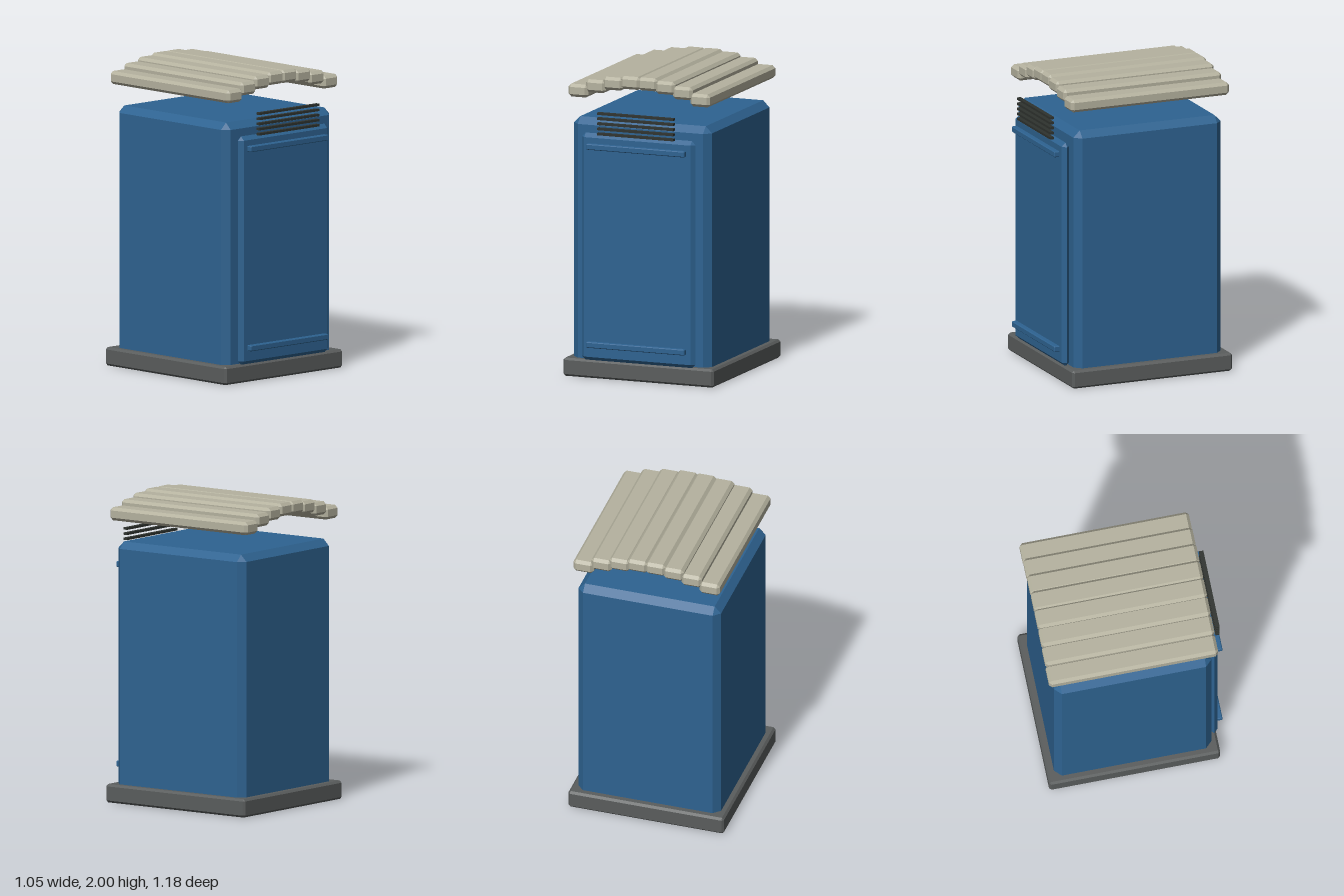
import * as THREE from 'three';
import { ConvexGeometry } from 'three/addons/geometries/ConvexGeometry.js';

const material = (name, color) => Object.assign(new THREE.MeshStandardMaterial({ color }), { name });

// Box with every edge chamfered by b, given its extents on each axis
function chamferBox([x0, x1], [y0, y1], [z0, z1], b) {
  const half = [(x1 - x0) / 2, (y1 - y0) / 2, (z1 - z0) / 2];
  const points = [];
  for (const sx of [-1, 1]) for (const sy of [-1, 1]) for (const sz of [-1, 1]) {
    const sign = [sx, sy, sz];
    for (let axis = 0; axis < 3; axis++) {
      // one corner point per adjoining face: full on its axis, inset on the others
      points.push(new THREE.Vector3(...half.map((h, i) => sign[i] * (i === axis ? h : h - b))));
    }
  }
  return new ConvexGeometry(points).translate((x0 + x1) / 2, (y0 + y1) / 2, (z0 + z1) / 2);
}

export function createModel() {
  const model = new THREE.Group();
  model.name = 'cabin';
  const blue = material('blue paint', 0x2e6391);
  const grey = material('dark grey', 0x5a5d5d);
  const beige = material('beige roof', 0xb5b29f);
  const black = material('vent black', 0x2f332f);

  const add = (name, geometry, mat, parent = model) => {
    const mesh = new THREE.Mesh(geometry, mat);
    mesh.name = name;
    parent.add(mesh);
    return mesh;
  };
  const group = (name) => {
    const g = new THREE.Group();
    g.name = name;
    model.add(g);
    return g;
  };

  // Plinth, main body and door panel
  add('base', chamferBox([-0.527, 0.527], [0, 0.12], [-0.588, 0.538], 0.014), grey);
  add('body', chamferBox([-0.483, 0.483], [0.07, 1.7], [-0.541, 0.496], 0.044), blue);
  add('door', chamferBox([-0.398, 0.398], [0.115, 1.61], [0.496, 0.549], 0.026), blue);

  // Horizontal rails across the door
  const rails = group('doorRails');
  for (const y of [0.227, 1.529]) {
    add('doorRail', chamferBox([-0.345, 0.345], [y - 0.019, y + 0.019], [0.549, 0.588], 0.005), blue, rails);
  }

  // Stack of vent louvres above the door
  const vents = group('ventLouvres');
  for (let i = 0; i < 5; i++) {
    const louvre = add('louvre', new THREE.BoxGeometry(0.534, 0.015, 0.028), black, vents);
    louvre.position.set(0, 1.618 + i * 0.0335, 0.571);
  }

  // Arched roof of stepped slats, mirrored about the middle
  const roof = group('roofSlats');
  [2.0, 1.986, 1.96, 1.922].forEach((top, i) => {
    for (const side of [-1, 1]) {
      const x = side * (0.061 + i * 0.122);
      add('roofSlat', chamferBox([x - 0.069, x + 0.069], [top - 0.085, top], [-0.582, 0.532], 0.019), beige, roof);
    }
  });

  return model;
}
